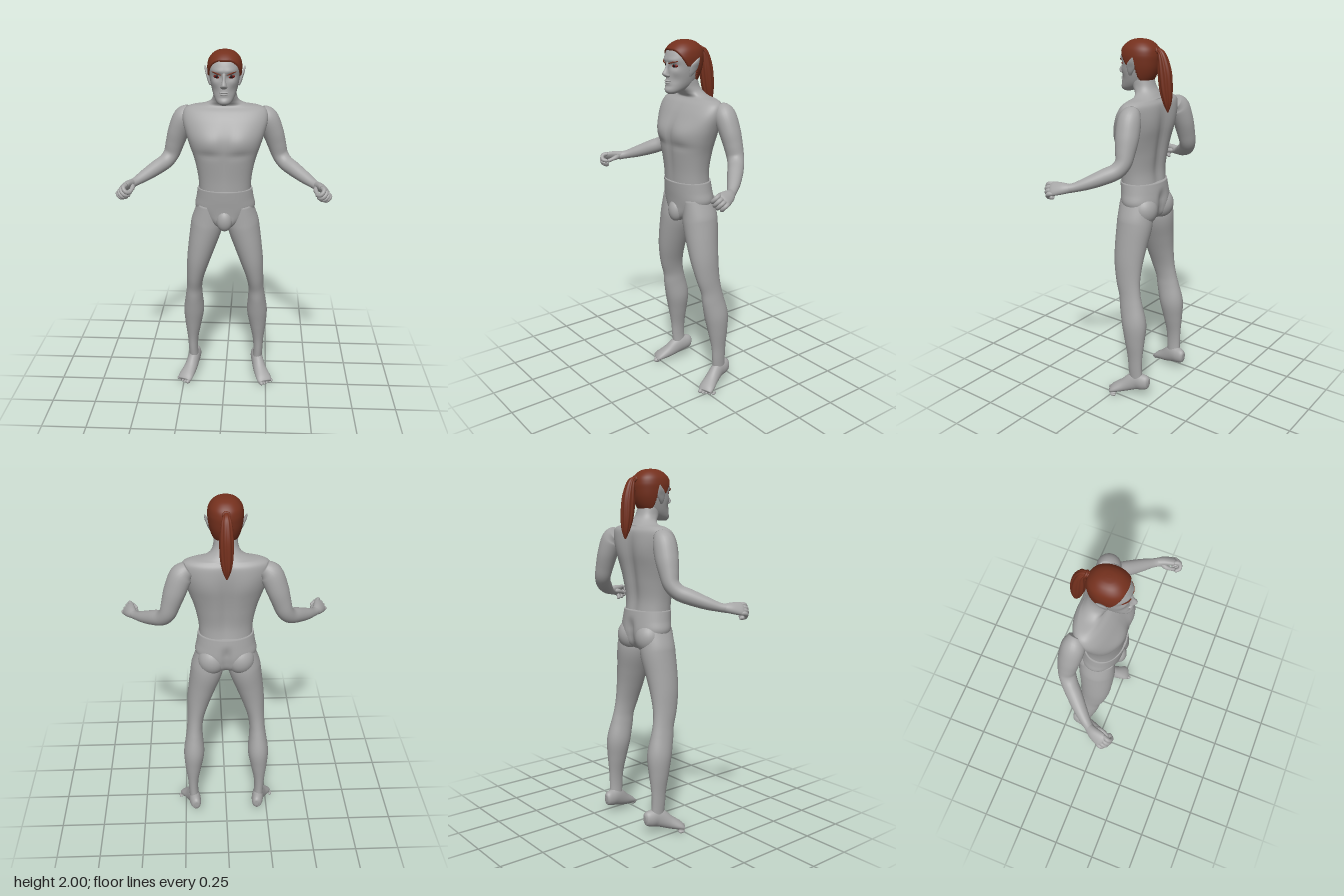
import * as THREE from 'three';

const mat = (name, color) => {
  const m = new THREE.MeshStandardMaterial({ color });
  m.name = name;
  return m;
};

// Catmull-Rom between rows of numbers
function smoothRows(rows, sub) {
  const out = [];
  const at = i => rows[Math.max(0, Math.min(rows.length - 1, i))];
  for (let i = 0; i < rows.length - 1; i++) {
    for (let s = 0; s < sub; s++) {
      const t = s / sub, [a, b, c, d] = [at(i - 1), at(i), at(i + 1), at(i + 2)];
      out.push(b.map((v, k) => v + 0.5 * t * (c[k] - a[k] + t * (2 * a[k] - 5 * v + 4 * c[k] - d[k]
        + t * (3 * (v - c[k]) + d[k] - a[k])))));
    }
  }
  out.push(rows[rows.length - 1]);
  return out;
}

// Closed loft through sections [x, y, z, a, b]; flat keeps every ring horizontal
function loft(sections, { ref = [0, 0, 1], flat = false, n = 28, sub = 6, pow = 2, ripple = 0 } = {}) {
  const rows = smoothRows(sections, sub), pos = [], idx = [], R = new THREE.Vector3(...ref);
  const c = rows.map(r => new THREE.Vector3(r[0], r[1], r[2]));
  const last = rows.length - 1;
  const e = v => Math.sign(v) * Math.abs(v) ** (2 / pow);
  rows.forEach((r, i) => {
    const T = flat ? new THREE.Vector3(0, 1, 0)
      : c[Math.min(i + 1, last)].clone().sub(c[Math.max(i - 1, 0)]).normalize();
    const U = T.clone().cross(R).normalize(), V = T.clone().cross(U);
    for (let j = 0; j < n; j++) {
      const q = j / n * Math.PI * 2, k = 1 + ripple * Math.sin(9 * q + i * 0.12);
      const p = c[i].clone().addScaledVector(U, e(Math.cos(q)) * r[3] * k)
        .addScaledVector(V, e(Math.sin(q)) * r[4] * k);
      pos.push(p.x, p.y, p.z);
    }
  });
  for (let i = 0; i < last; i++) for (let j = 0; j < n; j++) {
    const a = i * n + j, b = i * n + (j + 1) % n;
    idx.push(a, b, b + n, a, b + n, a + n);
  }
  pos.push(...c[0].toArray(), ...c[last].toArray());
  const s = rows.length * n;
  for (let j = 0; j < n; j++) {
    idx.push(s, (j + 1) % n, j, s + 1, last * n + j, last * n + (j + 1) % n);
  }
  const g = new THREE.BufferGeometry();
  g.setAttribute('position', new THREE.Float32BufferAttribute(pos, 3));
  g.setIndex(idx);
  g.computeVertexNormals();
  return g;
}

// Upright body loft from [y, halfWidth, zFront, zBack]
const upright = (rows, opt) => loft(rows.map(([y, w, f, b]) => [0, y, (f + b) / 2, w, (f - b) / 2]), { flat: true, ...opt });

function deform(g, fn) {
  const p = g.attributes.position, v = new THREE.Vector3();
  for (let i = 0; i < p.count; i++) {
    fn(v.fromBufferAttribute(p, i));
    p.setXYZ(i, v.x, v.y, v.z);
  }
  g.computeVertexNormals();
  return g;
}

const ball = (x, y, z, rx, ry, rz, turn = 0, tilt = 0) =>
  new THREE.SphereGeometry(1, 28, 18).scale(rx, ry, rz).rotateZ(tilt).rotateY(turn).translate(x, y, z);

function mirrored(g) {
  const m = g.clone().scale(-1, 1, 1), a = m.index.array;
  for (let i = 0; i < a.length; i += 3) [a[i], a[i + 1]] = [a[i + 1], a[i]];
  return m;
}

const gauss = (d, s) => Math.exp(-(d * d) / (2 * s * s));
const step = THREE.MathUtils.smoothstep;

export function createModel() {
  const model = new THREE.Group();
  const skin = mat('skin grey', 0xa6a6a6), hair = mat('hair auburn', 0x74301d);
  const eyeRed = mat('eye red', 0x7c1c16), dark = mat('pupil dark', 0x1c1010);
  const add = (name, g, m) => {
    const mesh = new THREE.Mesh(g, m);
    mesh.name = name;
    model.add(mesh);
  };
  const pair = (name, g, m) => { add('left' + name, g, m); add('right' + name, mirrored(g), m); };

  // Torso and neck, with chest, abdomen and spine modelling
  const torso = upright([
    [1.2, .143, .066, -.145], [1.3, .147, .07, -.135], [1.4, .166, .08, -.145], [1.48, .192, .087, -.155],
    [1.55, .215, .078, -.163], [1.62, .232, .047, -.165], [1.67, .225, .012, -.16], [1.694, .19, -.015, -.145],
    [1.706, .12, -.018, -.135], [1.725, .08, -.003, -.122], [1.755, .064, .018, -.102], [1.8, .06, .03, -.088],
    [1.84, .05, .03, -.08]], { n: 64, pow: 2.2 });
  add('torso', deform(torso, v => {
    const x = Math.abs(v.x);
    if (v.z > -.03) {
      v.z += .013 * gauss(x - .085, .05) * gauss(v.y - 1.52, .04) - .007 * gauss(x, .014) * gauss(v.y - 1.45, .12)
        - .006 * gauss(v.y - 1.45, .015) * gauss(x - .08, .05);
    } else if (v.z < -.06 && v.y < 1.7) {
      v.z += .018 * gauss(x, .025) * gauss(v.y - 1.42, .16) - .008 * gauss(x - .11, .05) * gauss(v.y - 1.57, .06);
    }
  }), skin);

  // Briefs with cleft seat and front panel
  add('briefs', deform(upright([
    [1.01, .02, .03, -.08], [1.03, .06, .055, -.13], [1.06, .105, .062, -.155], [1.1, .15, .062, -.163],
    [1.14, .169, .065, -.165], [1.19, .16, .071, -.16], [1.245, .152, .076, -.152]], { n: 56 }), v => {
    if (v.z < -.06) v.z += .02 * gauss(v.x, .018) * step(1.22 - v.y, 0, .08);
  }), skin);
  add('briefsPouch', ball(0, 1.07, .042, .045, .062, .04), skin);
  pair('Buttock', ball(.078, 1.095, -.096, .078, .085, .073), skin);

  // Legs
  pair('Leg', loft([
    [.095, 1.15, -.045, .06, .09], [.1, 1.06, -.05, .087, .1], [.108, 1, -.05, .09, .102],
    [.132, .9, -.045, .079, .094], [.155, .8, -.045, .066, .085], [.173, .7, -.055, .051, .074],
    [.182, .62, -.072, .045, .066], [.186, .55, -.085, .05, .07], [.19, .45, -.107, .06, .073],
    [.196, .35, -.115, .049, .06], [.2, .25, -.12, .033, .046], [.2, .17, -.122, .028, .042],
    [.195, .09, -.128, .028, .04]], { n: 36 }), skin);

  // Feet with raised heels
  pair('Foot', loft([
    [.183, .1, -.206, .012, .02], [.184, .1, -.195, .026, .038], [.19, .097, -.165, .034, .048],
    [.197, .092, -.12, .035, .052], [.215, .057, -.06, .04, .038], [.238, .031, -.005, .046, .024],
    [.247, .018, .018, .04, .013]], { ref: [0, 1, 0] }), skin);
  for (let i = 0; i < 5; i++) {
    const r = i ? .0105 - i * .0006 : .014;
    pair('Toe' + (i + 1), ball(.222 + i * .0155, r, .026 - i * .012 - (i ? 0 : .002), r, r, .024 - i * .0015, .3), skin);
  }

  // Bent arms
  pair('Arm', loft([
    [.19, 1.65, -.105, .04, .045], [.228, 1.62, -.11, .06, .06], [.262, 1.54, -.12, .062, .057],
    [.285, 1.47, -.125, .053, .051], [.305, 1.41, -.125, .044, .046], [.335, 1.37, -.103, .042, .043],
    [.38, 1.345, -.06, .041, .041], [.44, 1.315, 0, .033, .034], [.485, 1.295, .05, .024, .025],
    [.51, 1.288, .085, .024, .025]], { ref: [.8, .3, -.6] }), skin);

  // Fists: palm, curled fingers and thumb
  const F = new THREE.Vector3(.45, -.1, .89), C = new THREE.Vector3(-.65, -.72, .25), W = F.clone().cross(C);
  const K = new THREE.Vector3(.538, 1.285, .145);
  pair('Palm', loft([
    [.498, 1.291, .065, .022, .022], [.52, 1.29, .1, .033, .023], [.538, 1.285, .145, .041, .02],
    [.546, 1.283, .163, .032, .012]], { ref: C.toArray() }), skin);
  for (let i = 0; i < 4; i++) {
    const base = K.clone().addScaledVector(W, (i - 1.5) * .02), len = [.95, 1.05, 1, .82][i];
    const path = [[0, 0, .011], [.026, 0, .0125], [.039, .014, .011], [.036, .036, .011], [.014, .046, .01], [.006, .044, .005]];
    pair('Finger' + (i + 1), loft(path.map(([f, c, r]) => [...base.clone().addScaledVector(F, f * len)
      .addScaledVector(C, c * len).toArray(), r, r]), { ref: W.toArray(), n: 14, sub: 4 }), skin);
  }
  pair('Thumb', loft([
    [.508, 1.288, .085, .012, .012], [.494, 1.285, .115, .014, .014], [.494, 1.278, .142, .011, .011],
    [.504, 1.268, .166, .01, .01], [.508, 1.264, .173, .004, .004]], { ref: W.toArray(), n: 14, sub: 4 }), skin);

  // Head with eye sockets, cheekbones and brow
  const skull = [
    [1.724, .018, .086, .045], [1.738, .04, .098, .0], [1.77, .058, .098, -.066], [1.81, .07, .092, -.093],
    [1.85, .078, .09, -.108], [1.89, .083, .093, -.114], [1.92, .084, .09, -.115], [1.95, .077, .076, -.107],
    [1.975, .057, .05, -.083], [1.988, .033, .022, -.055], [1.992, .008, -.005, -.025]];
  add('head', deform(upright(skull, { n: 72, pow: 2.2 }), v => {
    if (v.z < .02) return;
    const x = Math.abs(v.x);
    v.z += -.011 * gauss(x - .036, .016) * gauss(v.y - 1.872, .012) + .006 * gauss(x - .03, .025) * gauss(v.y - 1.9, .01)
      + .005 * gauss(x - .055, .015) * gauss(v.y - 1.84, .015) - .007 * gauss(x - .045, .015) * gauss(v.y - 1.795, .02)
      + .005 * gauss(x, .018) * gauss(v.y - 1.745, .012) - .005 * gauss(x, .02) * gauss(v.y - 1.765, .007);
  }), skin);
  add('nose', upright([
    [1.811, .009, .1, .08], [1.82, .019, .115, .08], [1.833, .015, .124, .08], [1.858, .009, .108, .08],
    [1.885, .01, .098, .08], [1.9, .008, .092, .08]], { n: 24 }), skin);
  add('upperLip', ball(0, 1.793, .091, .024, .006, .014), skin);
  add('lowerLip', ball(0, 1.782, .09, .02, .006, .015), skin);
  pair('Ear', loft([
    [.074, 1.818, .0, .006, .008], [.082, 1.838, -.006, .008, .017], [.09, 1.865, -.015, .008, .024],
    [.099, 1.89, -.027, .007, .015], [.106, 1.913, -.037, .002, .003]], { n: 20 }), skin);

  // Eyes and brows
  pair('Eye', ball(.037, 1.872, .069, .02, .01, .01, .35, .12), eyeRed);
  pair('Pupil', ball(.038, 1.873, .0765, .008, .008, .004, .35), dark);
  pair('Brow', loft([
    [.014, 1.883, .097, .002, .002], [.038, 1.891, .09, .003, .004], [.062, 1.897, .071, .002, .002]],
  { ref: [0, 1, 0], n: 10 }), hair);

  // Hair cap: swells out above the hairline and sinks into the head below it
  const line = [[-.2, 1.775], [-.07, 1.78], [-.045, 1.8], [-.03, 1.865], [.02, 1.868], [.045, 1.905], [.072, 1.948], [.2, 1.956]];
  const hairline = z => {
    const i = Math.max(1, line.findIndex(p => p[0] >= z)), [a, b] = [line[i - 1], line[i]];
    return THREE.MathUtils.lerp(a[1], b[1], (z - a[0]) / (b[0] - a[0]));
  };
  const centre = new THREE.Vector3(0, 1.88, -.015);
  add('hair', deform(upright(skull.slice(2), { n: 110, sub: 12, pow: 2.2 }), v => {
    const lift = -.008 + .016 * step(v.y - hairline(v.z), -.005, .005);
    v.addScaledVector(v.clone().sub(centre).normalize(), lift);
  }), hair);

  // Ponytail with grooved strands and its tie
  add('ponytail', loft([
    [0, 1.94, -.09, .02, .024], [0, 1.945, -.128, .013, .015], [0, 1.918, -.152, .022, .026],
    [0, 1.84, -.167, .036, .034], [0, 1.75, -.177, .034, .033], [0, 1.68, -.186, .022, .022],
    [0, 1.63, -.19, .003, .003]], { ref: [1, 0, 0], n: 72, ripple: .06 }), hair);
  add('hairTie', new THREE.TorusGeometry(.015, .006, 10, 24).rotateX(.3).translate(0, 1.944, -.127), hair);

  return model;
}
